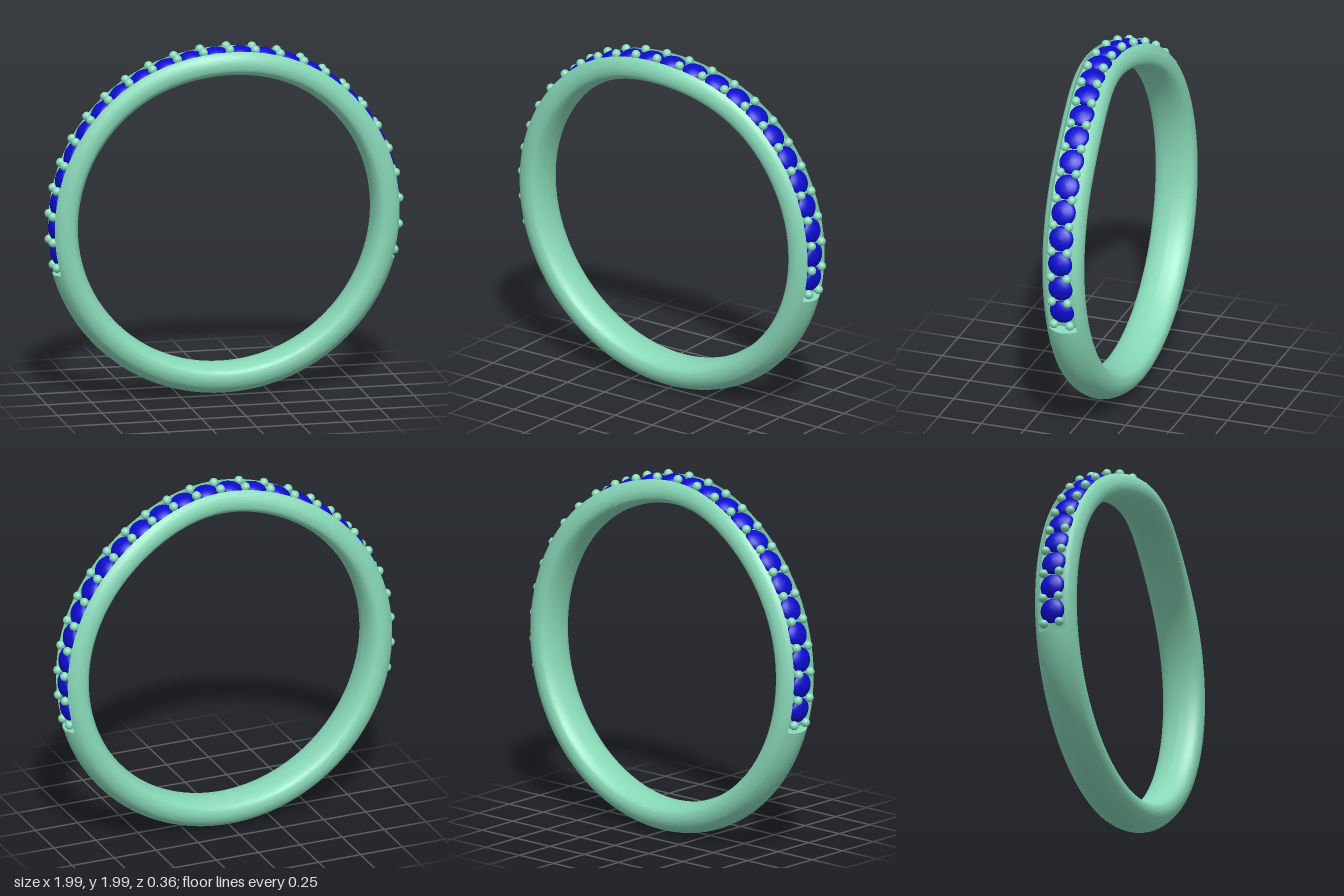
import * as THREE from 'three';
import { toCreasedNormals } from 'three/addons/utils/BufferGeometryUtils.js';

const CENTRE_Y = 0.995;
const PITCH = THREE.MathUtils.degToRad(8.63); // angle between neighbouring stones
const STONES_PER_SIDE = 12;
const GROOVE_END = THREE.MathUtils.degToRad(106);

// Sideways sway of the band; the angle runs from the top of the ring
const sway = (a) => {
  const d = Math.atan2(Math.sin(a), Math.cos(a)) / THREE.MathUtils.degToRad(28);
  return -0.033 + 0.032 * Math.cos(a) + 0.063 * Math.exp(-d * d);
};

// Point on the ring from angle, radius and sideways offset
const ringPoint = (a, r, u) =>
  new THREE.Vector3(r * Math.sin(a), CENTRE_Y + r * Math.cos(a), sway(a) + u);

// Half cross-sections as (sideways offset, radius), from the outer middle to the inner middle
const flank = new THREE.SplineCurve([
  [0.08, 0.967], [0.1, 0.949], [0.114, 0.92], [0.117, 0.89],
  [0.105, 0.857], [0.06, 0.833], [0, 0.825],
].map(([u, r]) => new THREE.Vector2(u, r))).getPoints(24);
const crown = [];
for (let i = 0; i < 6; i++) crown.push(new THREE.Vector2(0.08 * i / 6, 0.995 - 0.028 * (i / 6) ** 2));
const floor = [new THREE.Vector2(0, 0.935), new THREE.Vector2(0.08, 0.935)];

// Mirror a half section into a closed loop
const closed = (half) => [
  ...half,
  ...half.slice(1, -1).reverse().map((p) => new THREE.Vector2(-p.x, p.y)),
];

// Sweep a closed section round the ring between two angles
function sweep(section, from, to, steps, capped) {
  const n = section.length, pos = [], index = [];
  for (let i = 0; i <= steps; i++) {
    const a = from + (to - from) * i / steps;
    for (const p of section) pos.push(...ringPoint(a, p.y, p.x).toArray());
  }
  for (let i = 0; i < steps; i++) {
    for (let j = 0; j < n; j++) {
      const a = i * n + j, b = i * n + (j + 1) % n;
      index.push(a, b, a + n, b, b + n, a + n);
    }
  }
  if (capped) {
    for (const [a, b, c] of THREE.ShapeUtils.triangulateShape(section.slice(), [])) {
      const e = steps * n;
      index.push(a, b, c, e + a, e + c, e + b);
    }
  }
  const g = new THREE.BufferGeometry();
  g.setAttribute('position', new THREE.Float32BufferAttribute(pos, 3));
  g.setIndex(index);
  return toCreasedNormals(g, 0.7);
}

export function createModel() {
  const ring = new THREE.Group();
  ring.name = 'ring';
  const metal = new THREE.MeshStandardMaterial({ color: 0x88d8b8, side: THREE.DoubleSide });
  const blue = new THREE.MeshStandardMaterial({ color: 0x0c0cd0 });

  const add = (parent, geometry, material, name) => {
    const mesh = new THREE.Mesh(geometry, material);
    mesh.name = name;
    parent.add(mesh);
    return mesh;
  };

  // Band: a grooved upper part and a plain lower part with stepped ends
  add(ring, sweep(closed([...floor, ...flank]), -GROOVE_END, GROOVE_END, 120, false), metal, 'groovedBand');
  add(ring, sweep(closed([...crown, ...flank]), GROOVE_END, 2 * Math.PI - GROOVE_END, 80, true), metal, 'plainBand');

  // Row of domed round stones
  const stones = new THREE.Group();
  stones.name = 'stones';
  ring.add(stones);
  const stoneShape = new THREE.LatheGeometry([
    [0, -0.05], [0.06, -0.016], [0.07, 0], [0.066, 0.01],
    [0.054, 0.021], [0.03, 0.031], [0, 0.034],
  ].map(([x, y]) => new THREE.Vector2(x, y)), 32);
  for (let i = 0; i < 2 * STONES_PER_SIDE; i++) {
    const a = (i - STONES_PER_SIDE + 0.5) * PITCH;
    const stone = add(stones, stoneShape, blue, 'stone');
    stone.position.copy(ringPoint(a, 0.949, 0));
    stone.rotation.z = -a;
  }

  // Pairs of small beads holding the stones
  const beads = new THREE.Group();
  beads.name = 'beads';
  ring.add(beads);
  const beadShape = new THREE.SphereGeometry(0.025, 18, 12);
  for (let i = -STONES_PER_SIDE; i <= STONES_PER_SIDE; i++) {
    for (const side of [-1, 1]) {
      add(beads, beadShape, metal, 'bead').position.copy(ringPoint(i * PITCH, 0.973, side * 0.046));
    }
  }
  return ring;
}
